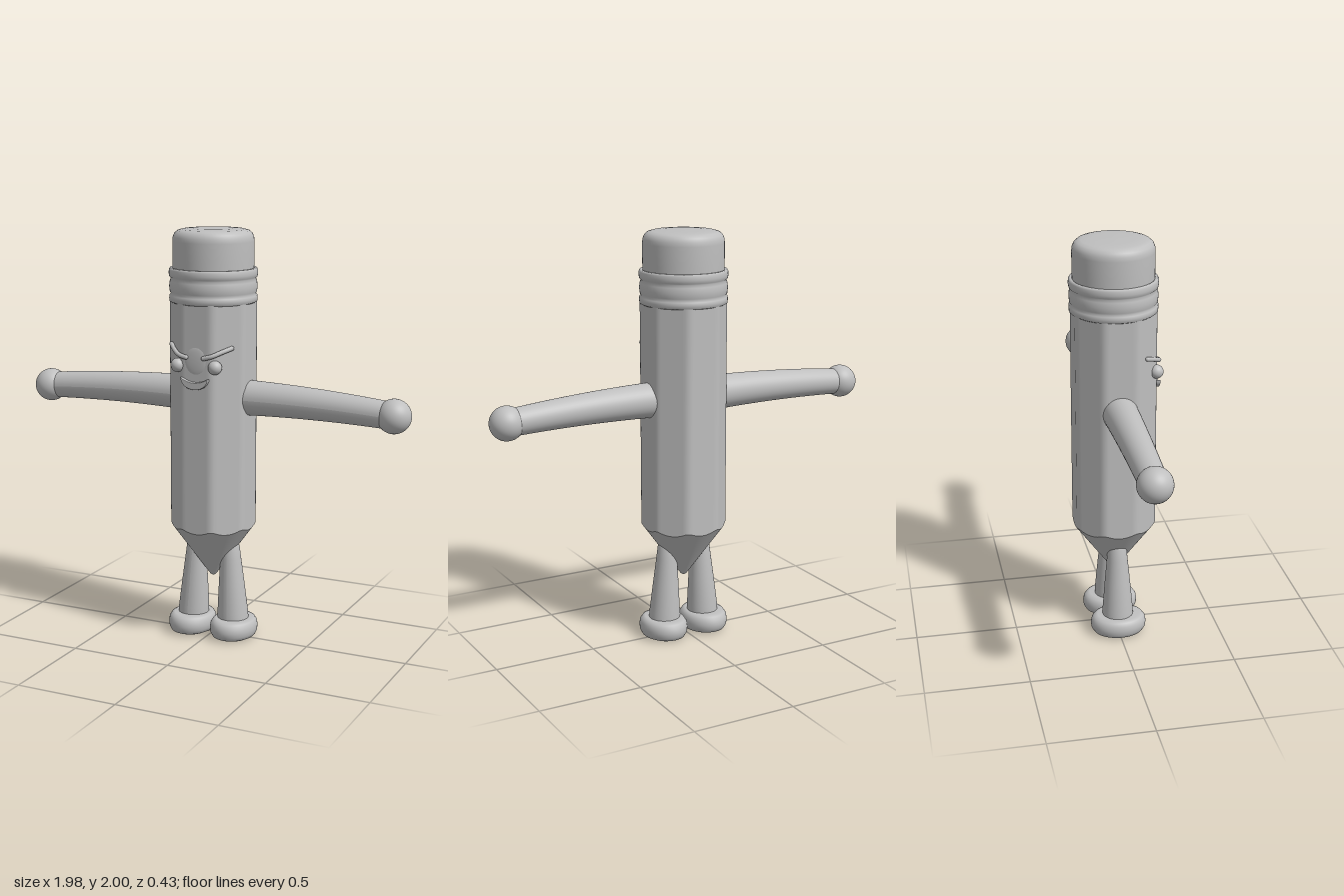
import * as THREE from 'three';

const APOTHEM = 0.195, CORNER = 0.207;   // eight-sided barrel with softened corners
const APEX = 0.285, SLOPE = 0.72;        // sharpened cone below the barrel

// Barrel radius at an angle, with a flat side facing the front
function barrelRadius(a) {
  const step = Math.PI / 4;
  const phi = a - Math.round(a / step) * step;
  return Math.min(APOTHEM / Math.cos(phi), CORNER);
}

// Moves every vertex of a geometry by a rule
function warp(geo, rule) {
  const p = geo.attributes.position, v = new THREE.Vector3();
  for (let i = 0; i < p.count; i++) {
    v.fromBufferAttribute(p, i);
    rule(v);
    p.setXYZ(i, v.x, v.y, v.z);
  }
  geo.computeVertexNormals();
  return geo;
}

function lathe(points, segments = 64) {
  return new THREE.LatheGeometry(points.map(([r, y]) => new THREE.Vector2(r, y)), segments);
}

function tube(points, radius) {
  const curve = new THREE.CatmullRomCurve3(points.map((p) => new THREE.Vector3(...p)));
  return new THREE.TubeGeometry(curve, 24, radius, 12);
}

export function createModel() {
  const model = new THREE.Group();
  model.name = 'pencilFigure';
  const grey = new THREE.MeshStandardMaterial({ color: 0xbfbfbf });
  grey.name = 'grey';

  const add = (name, geo, x = 0, y = 0, z = 0) => {
    const mesh = new THREE.Mesh(geo, grey);
    mesh.name = name;
    mesh.position.set(x, y, z);
    model.add(mesh);
    return mesh;
  };

  // Barrel: its lower rim follows the scalloped line where the cone cuts the flats
  add('barrel', warp(new THREE.CylinderGeometry(1, 1, 1, 96, 1, true), (v) => {
    const a = Math.atan2(v.x, v.z), r = barrelRadius(a);
    v.set(Math.sin(a) * r, v.y > 0 ? 1.68 : APEX + r / SLOPE, Math.cos(a) * r);
  }));

  // Sharpened cone and blunt tip
  add('sharpenedCone', warp(new THREE.CylinderGeometry(1, 1, 1, 96, 6, true), (v) => {
    const a = Math.atan2(v.x, v.z);
    const r = THREE.MathUtils.lerp(0.015, barrelRadius(a), v.y + 0.5);
    v.set(Math.sin(a) * r, APEX + r / SLOPE, Math.cos(a) * r);
  }));
  add('tip', new THREE.SphereGeometry(0.0185, 24, 16), 0, 0.3175, 0);

  // Ferrule: three rounded bands
  add('ferrule', lathe([
    [0.185, 1.655], [0.2, 1.655], [0.208, 1.66], [0.209, 1.675], [0.208, 1.688],
    [0.201, 1.695], [0.206, 1.705], [0.209, 1.73], [0.206, 1.755],
    [0.201, 1.768], [0.208, 1.775], [0.211, 1.79], [0.21, 1.808],
    [0.205, 1.816], [0.197, 1.817], [0.188, 1.812],
  ]));

  // Eraser with a rounded top
  add('eraser', lathe([
    [0.192, 1.78], [0.193, 1.85], [0.193, 1.94], [0.191, 1.96], [0.184, 1.977],
    [0.17, 1.989], [0.15, 1.995], [0.1, 1.999], [0, 2],
  ]));

  for (const s of [-1, 1]) {
    const side = s > 0 ? 'left' : 'right';

    // Arm: tapering and gently arched
    const arm = new THREE.CylinderGeometry(1, 1, 1, 40, 20);
    arm.rotateZ(-s * Math.PI / 2);
    add(side + 'Arm', warp(arm, (v) => {
      const t = s * v.x + 0.5;
      const r = 0.085 - 0.021 * t;
      v.set(s * (0.15 + 0.73 * t), 1.205 + 0.012 * t - 0.034 * t * t + v.y * r, v.z * r - 0.002);
    }));
    add(side + 'Hand', new THREE.SphereGeometry(0.081, 40, 28), s * 0.909, 1.181, 0);

    // Leg: leaning tapered post with a rounded top
    const leg = lathe([
      [0.077, 0.07], [0.075, 0.13], [0.063, 0.27], [0.051, 0.4],
      [0.046, 0.46], [0.036, 0.487], [0.02, 0.5], [0, 0.504],
    ], 40);
    add(side + 'Leg', warp(leg, (v) => { v.x += s * (0.112 - 0.045 * v.y); }));

    // Foot: rounded oval pad with a shallow disc below
    const foot = add(side + 'Foot', lathe([
      [0, 0.008], [0.052, 0.008], [0.056, 0.002], [0.085, 0.003], [0.102, 0.012],
      [0.111, 0.03], [0.113, 0.052], [0.11, 0.074], [0.1, 0.09], [0.085, 0.098], [0, 0.099],
    ], 48), s * 0.113, 0, 0.002);
    foot.scale.z = 1.22;

    // Eye and slanted brow
    add(side + 'Eye', new THREE.SphereGeometry(0.033, 28, 20), s * 0.097, 1.372, 0.187);
    add(side + 'Brow', tube([
      [s * 0.045, 1.414, 0.204], [s * 0.085, 1.425, 0.2],
      [s * 0.125, 1.444, 0.168], [s * 0.157, 1.459, 0.13],
    ], 0.011));
    add(side + 'BrowInnerEnd', new THREE.SphereGeometry(0.011, 12, 8), s * 0.045, 1.414, 0.204);
    add(side + 'BrowOuterEnd', new THREE.SphereGeometry(0.011, 12, 8), s * 0.157, 1.459, 0.13);
  }

  // Nose: a low oval swelling on the front flat
  const nose = add('nose', new THREE.SphereGeometry(1, 32, 20), 0, 1.397, 0.192);
  nose.scale.set(0.058, 0.068, 0.008);

  // Mouth: a crescent smile
  const smile = new THREE.Shape();
  smile.moveTo(-0.068, 1.315);
  smile.quadraticCurveTo(0, 1.275, 0.068, 1.315);
  smile.bezierCurveTo(0.06, 1.25, -0.06, 1.25, -0.068, 1.315);
  add('mouth', new THREE.ExtrudeGeometry(smile, {
    depth: 0.018, curveSegments: 20, bevelThickness: 0.006, bevelSize: 0.003, bevelSegments: 3,
  }), 0, 0, 0.19);

  return model;
}
